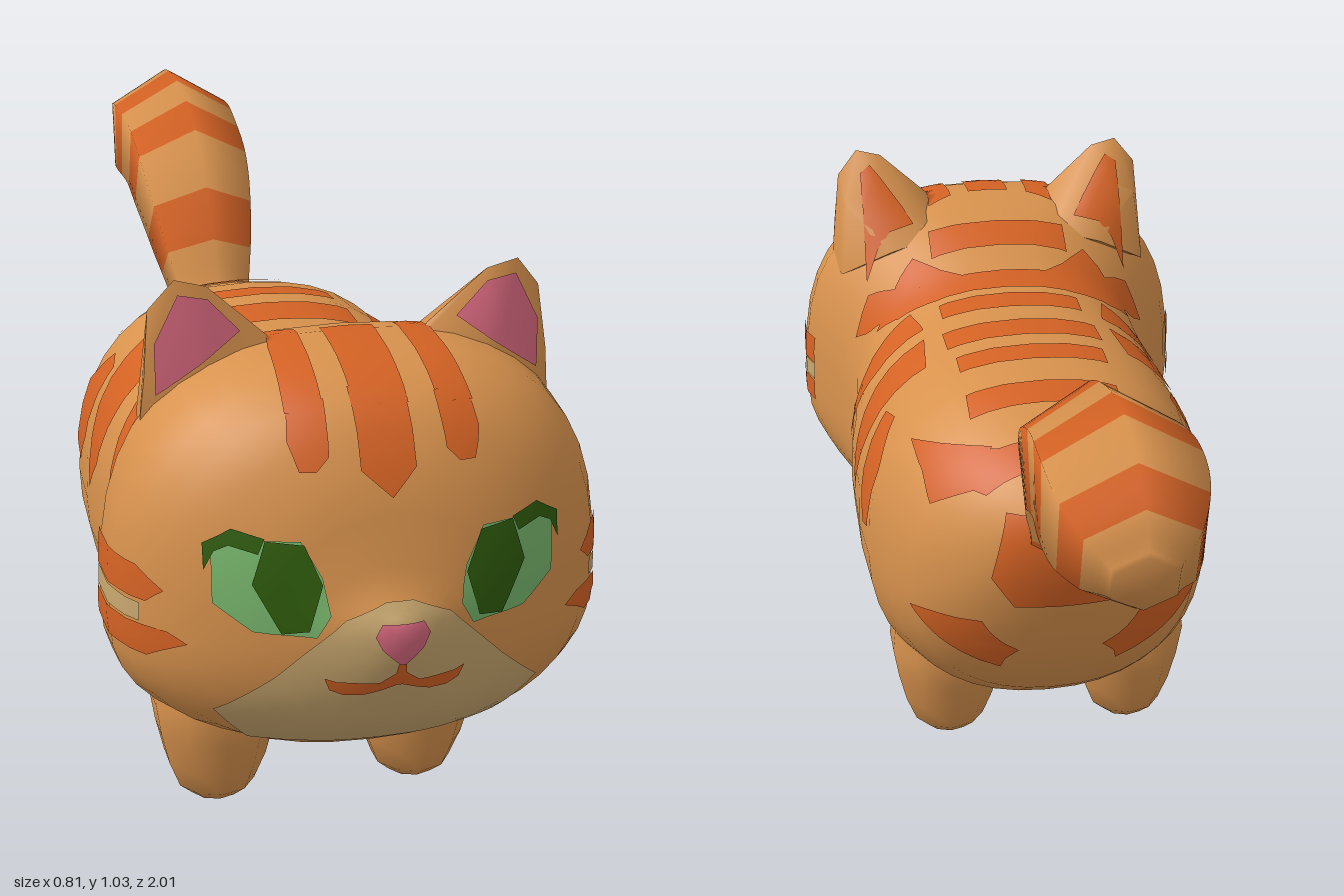
import * as THREE from 'three';
import { toCreasedNormals } from 'three/addons/utils/BufferGeometryUtils.js';
import { ConvexGeometry } from 'three/addons/geometries/ConvexGeometry.js';

const mat = (name, color) => {
  const m = new THREE.MeshStandardMaterial({ color });
  m.name = name;
  return m;
};

// Skin over a row of closed rings with pointed ends; pick(i, j) chooses the material slot of a face
function loft(rings, start, end, pick = () => 0) {
  const n = rings[0].length, last = rings.length - 1;
  const points = [...rings.flat(), start, end];
  const lists = [[], []];
  const at = (i, j) => i * n + (j % n);
  for (let j = 0; j < n; j++) {
    lists[pick(0, j)].push(at(0, j + 1), at(0, j), points.length - 2);
    lists[pick(last, j)].push(at(last, j), at(last, j + 1), points.length - 1);
    for (let i = 0; i < last; i++) {
      lists[pick(i, j)].push(at(i, j), at(i, j + 1), at(i + 1, j), at(i, j + 1), at(i + 1, j + 1), at(i + 1, j));
    }
  }
  const geo = new THREE.BufferGeometry().setFromPoints(points);
  geo.setIndex([...lists[0], ...lists[1]]);
  geo.addGroup(0, lists[0].length, 0);
  if (lists[1].length) geo.addGroup(lists[0].length, lists[1].length, 1);
  geo.computeVertexNormals();
  return geo;
}

// Directions from which markings are laid on: 2D point to ray origin, and ray direction
const SIDES = {
  front: [(a, b) => [a, b, 3], [0, 0, -1]],
  back: [(a, b) => [a, b, -3], [0, 0, 1]],
  top: [(a, b) => [a, 3, b], [0, -1, 0]],
  bottom: [(a, b) => [a, -3, b], [0, 1, 0]],
  left: [(a, b) => [3, b, a], [-1, 0, 0]],
  right: [(a, b) => [-3, b, a], [1, 0, 0]],
};

// Thin marking: a flat outline cut finely and draped over the target meshes
function drape(outline, side, targets, lift) {
  const [origin, d] = SIDES[side];
  const dir = new THREE.Vector3(...d), ray = new THREE.Raycaster(), cache = new Map();
  const hitAt = (p) => {
    const key = p[0].toFixed(5) + ',' + p[1].toFixed(5);
    if (!cache.has(key)) {
      ray.set(new THREE.Vector3(...origin(...p)), dir);
      const h = ray.intersectObjects(targets, false)[0];
      cache.set(key, h ? { p: h.point.clone().addScaledVector(h.normal, lift), n: h.normal.clone() } : null);
    }
    return cache.get(key);
  };
  const pos = [], nor = [];
  const emit = (tri) => {
    const h = tri.map(hitAt);
    if (h.includes(null)) return;
    const face = h[1].p.clone().sub(h[0].p).cross(h[2].p.clone().sub(h[0].p));
    if (face.dot(dir) > 0) h.reverse();
    h.forEach((v) => { pos.push(...v.p.toArray()); nor.push(...v.n.toArray()); });
  };
  const split = ([a, b, c]) => {
    const len = (p, q) => Math.hypot(p[0] - q[0], p[1] - q[1]);
    const ab = len(a, b), bc = len(b, c), ca = len(c, a), most = Math.max(ab, bc, ca);
    if (most < 0.03) return emit([a, b, c]);
    if (most === bc) [a, b, c] = [b, c, a];
    else if (most === ca) [a, b, c] = [c, a, b];
    const m = [(a[0] + b[0]) / 2, (a[1] + b[1]) / 2];
    split([a, m, c]);
    split([m, b, c]);
  };
  const pts = outline.map((p) => new THREE.Vector2(...p));
  if (THREE.ShapeUtils.isClockWise(pts)) pts.reverse();
  THREE.ShapeUtils.triangulateShape(pts, []).forEach((f) => split(f.map((k) => pts[k].toArray())));
  const geo = new THREE.BufferGeometry();
  geo.setAttribute('position', new THREE.Float32BufferAttribute(pos, 3));
  geo.setAttribute('normal', new THREE.Float32BufferAttribute(nor, 3));
  return geo;
}

export function createModel() {
  const group = new THREE.Group();
  const fur = mat('ginger fur', 0xd8924d), stripe = mat('orange stripe', 0xd46224), cream = mat('cream', 0xc9a76e);
  const pink = mat('pink', 0xd4667c), green = mat('light green', 0x78b66c), dark = mat('dark green', 0x2f5c0c);
  const add = (name, geo, material) => {
    const m = new THREE.Mesh(geo, material);
    m.name = name;
    group.add(m);
    return m;
  };

  // Body and head: z, bottom, widest height, top, half width, roundness
  const sections = [
    [-0.33, 0.47, 0.54, 0.61, 0.07, 2], [-0.305, 0.37, 0.5, 0.65, 0.14, 2], [-0.26, 0.27, 0.46, 0.685, 0.205, 2.1],
    [-0.2, 0.19, 0.43, 0.715, 0.268, 2.2], [-0.13, 0.14, 0.42, 0.745, 0.3, 2.3], [-0.04, 0.105, 0.42, 0.77, 0.33, 2.4],
    [0.1, 0.1, 0.42, 0.78, 0.337, 2.4], [0.3, 0.1, 0.42, 0.77, 0.335, 2.4], [0.39, 0.12, 0.42, 0.78, 0.325, 2.4],
    [0.46, 0.145, 0.43, 0.825, 0.317, 2.4], [0.53, 0.17, 0.45, 0.865, 0.345, 2.5], [0.6, 0.2, 0.47, 0.89, 0.383, 2.7],
    [0.66, 0.22, 0.475, 0.9, 0.4, 2.8], [0.74, 0.243, 0.475, 0.89, 0.398, 2.7], [0.79, 0.255, 0.48, 0.875, 0.378, 2.6],
    [0.84, 0.273, 0.485, 0.852, 0.34, 2.5], [0.88, 0.3, 0.49, 0.81, 0.285, 2.4], [0.91, 0.33, 0.5, 0.75, 0.23, 2.3],
    [0.93, 0.355, 0.5, 0.695, 0.185, 2.2], [0.945, 0.38, 0.51, 0.62, 0.135, 2], [0.97, 0.425, 0.52, 0.575, 0.08, 2],
    [0.99, 0.485, 0.525, 0.555, 0.03, 2],
  ];
  const rings = sections.map(([z, lo, mid, hi, w, n]) => Array.from({ length: 40 }, (_, k) => {
    const a = (k / 40) * Math.PI * 2, c = Math.cos(a), s = Math.sin(a);
    const e = 2 / (s > 0 ? n : Math.min(n, 2.2));
    const h = s > 0 ? hi - mid : mid - lo;
    return new THREE.Vector3(w * Math.sign(c) * Math.abs(c) ** e, mid + h * Math.sign(s) * Math.abs(s) ** e, z);
  }));
  const body = add('bodyAndHead', loft(rings, new THREE.Vector3(0, 0.54, -0.34), new THREE.Vector3(0, 0.53, 1)), fur);
  body.geometry.clearGroups();

  // Ears
  const earPoints = [[0.11, 0.87, 0.67], [0.13, 0.9, 0.66], [0.225, 0.985, 0.665], [0.275, 0.998, 0.665], [0.315, 0.95, 0.655],
    [0.325, 0.85, 0.675], [0.335, 0.75, 0.67], [0.22, 0.8, 0.69], [0.12, 0.84, 0.55], [0.22, 0.82, 0.52], [0.32, 0.76, 0.57],
    [0.24, 0.93, 0.595], [0.305, 0.9, 0.6]];
  const ears = [1, -1].map((s) => add(s > 0 ? 'leftEar' : 'rightEar', toCreasedNormals(
    new ConvexGeometry(earPoints.map(([x, y, z]) => new THREE.Vector3(x * s, y, z))), 0.9), fur));

  // Legs
  const legProfile = [[0, 0.003], [0.045, 0.008], [0.07, 0.03], [0.09, 0.08], [0.105, 0.14], [0.115, 0.2], [0.1, 0.32]]
    .map((p) => new THREE.Vector2(...p));
  for (const x of [0.18, -0.18]) for (const z of [0.49, 0]) {
    add(z ? 'frontLeg' : 'backLeg', new THREE.LatheGeometry(legProfile, 10), fur).position.set(x, 0, z);
  }

  // Six-sided tail, banded except underneath
  const tailPath = [[-0.28, 0.58, 0.07], [-0.35, 0.635, 0.08], [-0.45, 0.745, 0.11], [-0.56, 0.835, 0.13],
    [-0.67, 0.88, 0.135], [-0.78, 0.893, 0.141], [-0.87, 0.883, 0.132], [-0.94, 0.865, 0.1], [-0.985, 0.85, 0.055]];
  const centre = new THREE.CatmullRomCurve3(tailPath.map(([z, y]) => new THREE.Vector3(0, y, z)));
  const radius = new THREE.SplineCurve(tailPath.map((p, i) => new THREE.Vector2(i, p[2])));
  const steps = 48;
  const tailRings = Array.from({ length: steps + 1 }, (_, i) => {
    const t = i / steps, c = centre.getPoint(t), d = centre.getTangent(t), r = radius.getPoint(t).y;
    return Array.from({ length: 6 }, (_, k) => {
      const a = Math.PI / 2 + (k * Math.PI) / 3, s = Math.sin(a) * r;
      return new THREE.Vector3(-Math.cos(a) * r, c.y - d.z * s, c.z + d.y * s);
    });
  });
  const bands = [[-0.26, -0.35], [-0.41, -0.49], [-0.57, -0.65], [-0.72, -0.79], [-0.88, -0.94]];
  const banded = (i, j) => {
    const z = centre.getPoint(Math.min(1, (i + 0.5) / steps)).z;
    return bands.some(([a, b], k) => z < a && z > b && (k === 0 || (j !== 2 && j !== 3))) ? 1 : 0;
  };
  add('tail', loft(tailRings, new THREE.Vector3(0, 0.58, -0.27), new THREE.Vector3(0, 0.85, -1), banded), [fur, stripe]);

  // Markings helpers; pair() repeats a marking on the other side
  const skin = [body, ...ears];
  const mark = (name, material, side, outline, lift = 0.004) => add(name, drape(outline, side, skin, lift), material);
  const pair = (name, material, side, outline, lift) => {
    mark(name, material, side, outline, lift);
    if (side === 'left') mark(name, material, 'right', outline, lift);
    else mark(name, material, side, outline.map(([x, y]) => [-x, y]), lift);
  };
  const whole = (half) => [...half, ...half.map(([x, y]) => [-x, y]).reverse()];
  const bar = (w, a, b) => [[-w, a], [w, a], [w, b], [-w, b]];

  // Face
  mark('muzzle', cream, 'front', whole([[0.02, 0.575], [0.08, 0.55], [0.13, 0.5], [0.18, 0.45], [0.26, 0.375], [0.2, 0.305]]), 0.003);
  mark('nose', pink, 'front', whole([[0.03, 0.548], [0.04, 0.53], [0.03, 0.51], [0.004, 0.485]]), 0.006);
  mark('mouth', stripe, 'front', whole([[0.005, 0.49], [0.008, 0.468], [0.03, 0.45], [0.09, 0.448], [0.108, 0.453],
    [0.1, 0.432], [0.08, 0.424], [0.05, 0.426], [0.004, 0.445]]), 0.005);
  pair('eye', green, 'front', [[0.265, 0.65], [0.265, 0.565], [0.21, 0.525], [0.12, 0.52], [0.1, 0.555], [0.11, 0.61],
    [0.14, 0.665], [0.2, 0.665], [0.24, 0.675]], 0.004);
  pair('pupil', dark, 'front', [[0.17, 0.525], [0.13, 0.53], [0.11, 0.6], [0.135, 0.66], [0.19, 0.665], [0.21, 0.6]], 0.006);
  pair('eyelid', dark, 'front', [[0.275, 0.615], [0.275, 0.655], [0.235, 0.68], [0.19, 0.668], [0.2, 0.645], [0.24, 0.655], [0.26, 0.645]], 0.006);
  pair('innerEar', pink, 'front', [[0.308, 0.82], [0.308, 0.9], [0.27, 0.975], [0.225, 0.965], [0.175, 0.912], [0.24, 0.865]]);
  pair('upperCheekStripe', stripe, 'left', [[0.61, 0.545], [0.61, 0.603], [0.8, 0.598], [0.845, 0.57], [0.82, 0.545]]);
  pair('cheekLight', cream, 'left', [[0.61, 0.508], [0.61, 0.543], [0.81, 0.538], [0.81, 0.508]], 0.003);
  pair('lowerCheekStripe', stripe, 'left', [[0.61, 0.46], [0.61, 0.505], [0.85, 0.505], [0.87, 0.49], [0.82, 0.455]]);

  // Forehead stripes, over the brow and along the crown
  mark('foreheadStripe', stripe, 'front', [[-0.045, 0.86], [-0.045, 0.76], [0, 0.72], [0.04, 0.76], [0.04, 0.86]]);
  mark('crownStripe', stripe, 'top', bar(0.042, 0.65, 0.85));
  pair('foreheadSideStripe', stripe, 'front', [[0.085, 0.85], [0.09, 0.78], [0.11, 0.76], [0.135, 0.76], [0.148, 0.8], [0.14, 0.85]]);
  pair('crownSideStripe', stripe, 'top', [[0.08, 0.64], [0.13, 0.61], [0.145, 0.84], [0.088, 0.85]]);

  // Back of the head and spine
  pair('earBackPatch', stripe, 'top', [[0.17, 0.56], [0.27, 0.53], [0.27, 0.63], [0.25, 0.64]]);
  mark('neckBand', stripe, 'top', whole([[0.14, 0.385], [0.22, 0.4], [0.3, 0.49], [0.27, 0.51], [0.17, 0.435], [0.1, 0.425]]));
  for (const [w, a, b] of [[0.14, 0.48, 0.54], [0.14, 0.3, 0.36], [0.15, 0.13, 0.22], [0.14, 0.02, 0.08], [0.14, -0.12, -0.06]]) {
    mark('spineStripe', stripe, 'top', bar(w, a, b));
  }
  mark('rumpBand', stripe, 'top', whole([[0.13, -0.26], [0.21, -0.18], [0.19, -0.16], [0.1, -0.2]]));
  mark('tailRootPatch', stripe, 'back', whole([[0.1, 0.62], [0.13, 0.5], [0.09, 0.44]]));

  // Flanks
  const flank = [
    [[0.5, 0.81], [0.4, 0.79], [0.4, 0.72], [0.43, 0.68]],
    [[0.39, 0.73], [0.29, 0.735], [0.28, 0.66], [0.31, 0.55], [0.33, 0.48], [0.37, 0.5], [0.36, 0.6]],
    [[0.24, 0.735], [0.1, 0.735], [0.11, 0.6], [0.15, 0.46], [0.2, 0.52], [0.22, 0.62]],
    [[0.08, 0.66], [0.03, 0.67], [-0.04, 0.6], [-0.04, 0.48], [0.02, 0.46], [0.06, 0.52]],
    [[-0.07, 0.67], [-0.19, 0.7], [-0.25, 0.65], [-0.2, 0.6], [-0.14, 0.64]],
    [[-0.2, 0.4], [-0.285, 0.4], [-0.28, 0.33], [-0.25, 0.28]],
  ];
  flank.forEach((outline) => pair('flankStripe', stripe, 'left', outline));

  // Belly patch
  mark('belly', cream, 'bottom', whole([[0.1, 0.46], [0.24, 0.4], [0.285, 0.33], [0.285, 0.13], [0.24, 0.06], [0.12, -0.1]]));

  return group;
}
